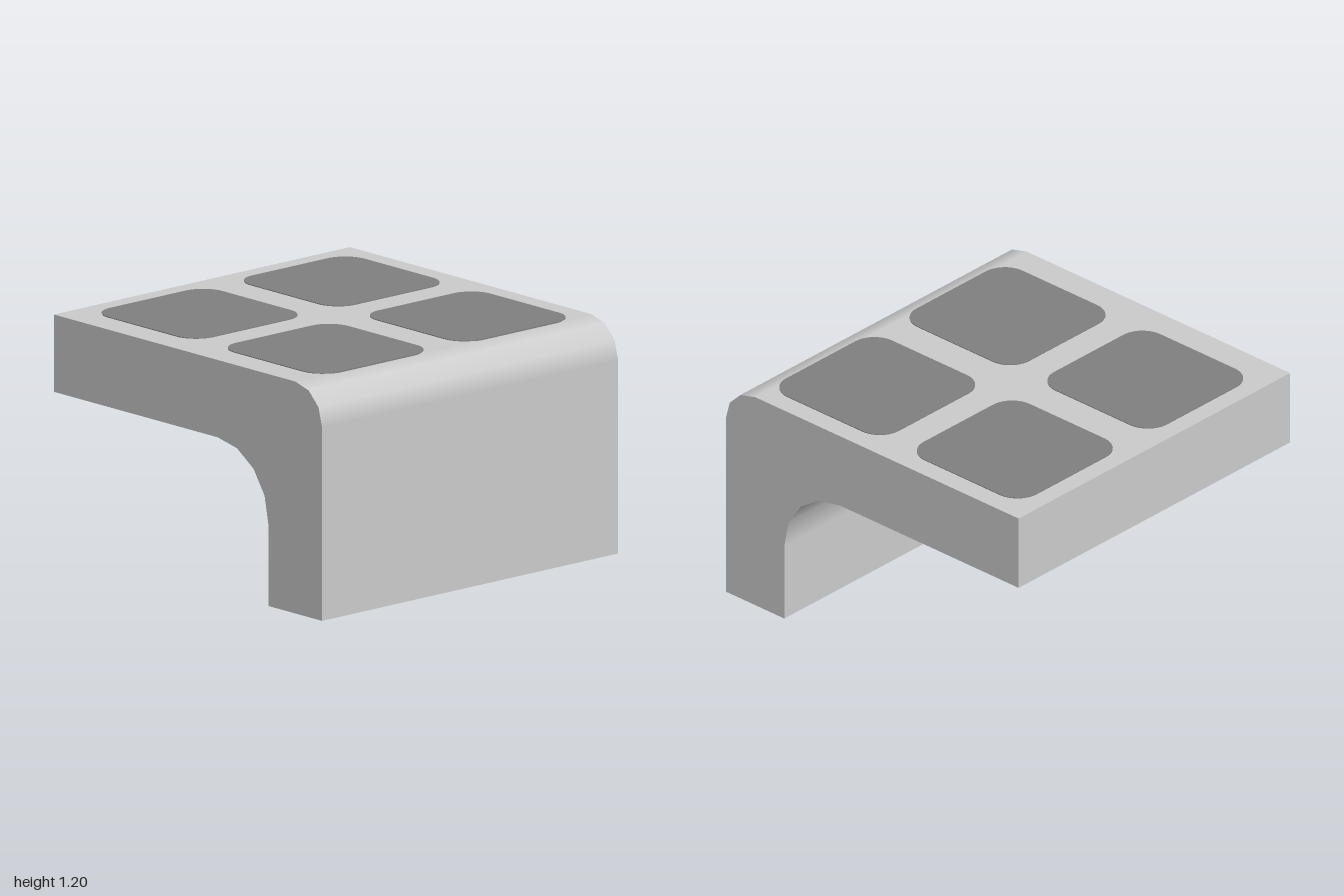
import * as THREE from 'three';

const OUTER = { z: 0.8, y: 1.0, r: 0.2, segments: 3, sign: 1 };
const INNER = { z: 0.22, y: 0.42, r: 0.38, segments: 4, sign: -1 };

// Quarter-circle points of a bend, from its front end to its top end
function bendPoints({ z, y, r, segments }) {
  return Array.from({ length: segments + 1 }, (_, i) => {
    const a = (i / segments) * Math.PI / 2;
    return new THREE.Vector2(z + r * Math.cos(a), y + r * Math.sin(a));
  });
}

// L-shaped side profile, extruded across the width
function bodyGeometry() {
  const profile = [
    new THREE.Vector2(0.6, 0),
    new THREE.Vector2(1, 0),
    ...bendPoints(OUTER),
    new THREE.Vector2(-1, 1.2),
    new THREE.Vector2(-1, 0.8),
    ...bendPoints(INNER).reverse(),
  ];
  const geo = new THREE.ExtrudeGeometry(new THREE.Shape(profile), { depth: 2, bevelEnabled: false });
  geo.translate(0, 0, -1);

  // Smooth shading on the two bends only
  const pos = geo.attributes.position;
  const nor = geo.attributes.normal;
  const e = 1e-4;
  for (let i = 0; i < pos.count; i++) {
    if (Math.abs(nor.getZ(i)) > 0.5) continue;
    for (const { z, y, r, sign } of [OUTER, INNER]) {
      const dz = pos.getX(i) - z;
      const dy = pos.getY(i) - y;
      if (dz > -e && dy > -e && Math.abs(Math.hypot(dz, dy) - r) < e) {
        nor.setXYZ(i, sign * dz / r, sign * dy / r, 0);
      }
    }
  }
  return geo.rotateY(-Math.PI / 2);
}

// Thin square pad with rounded corners, lying flat
function padGeometry(size, radius, thickness) {
  const h = size / 2;
  const c = h - radius;
  const shape = new THREE.Shape();
  [[c, c], [-c, c], [-c, -c], [c, -c]].forEach(([x, y], i) => {
    shape.absarc(x, y, radius, i * Math.PI / 2, (i + 1) * Math.PI / 2, false);
  });
  const geo = new THREE.ExtrudeGeometry(shape, { depth: thickness, bevelEnabled: false, curveSegments: 6 });
  return geo.rotateX(-Math.PI / 2);
}

export function createModel() {
  const model = new THREE.Group();
  model.name = 'bentBlock';

  const body = new THREE.Mesh(bodyGeometry(), new THREE.MeshStandardMaterial({ color: 0xcccccc }));
  body.name = 'body';
  model.add(body);

  // Two by two grid of dark pads on the top face
  const padGeo = padGeometry(0.77, 0.13, 0.01);
  const padMaterial = new THREE.MeshStandardMaterial({ color: 0x808080 });
  for (const x of [-0.455, 0.505]) {
    for (const z of [-0.515, 0.425]) {
      const pad = new THREE.Mesh(padGeo, padMaterial);
      pad.name = `${z > 0 ? 'front' : 'back'}${x > 0 ? 'Left' : 'Right'}Pad`;
      pad.position.set(x, 1.194, z);
      model.add(pad);
    }
  }
  return model;
}
